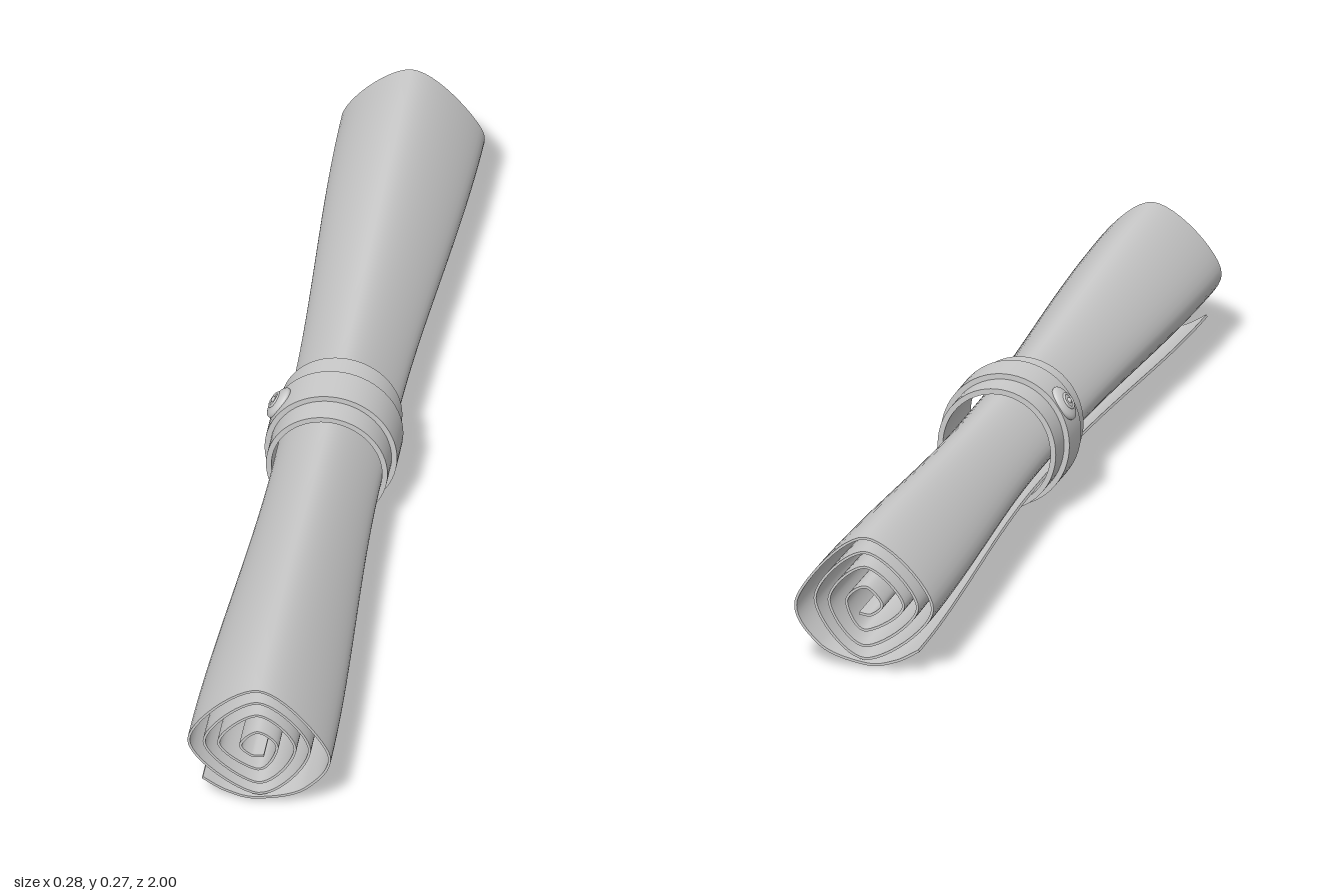
import * as THREE from 'three';
import { mergeGeometries } from 'three/addons/utils/BufferGeometryUtils.js';

const CY = 0.134;          // height of the roll's axis
const HALF_THICK = 0.0025; // half the sheet thickness

// Spiral of the sheet, from the loose outer edge to the core: [degrees, radius]
const spiral = new THREE.SplineCurve([
  [219, 0.139], [242, 0.129], [270, 0.124], [315, 0.13], [360, 0.135], [450, 0.131], [540, 0.135],
  [630, 0.114], [720, 0.1], [810, 0.102], [900, 0.105], [990, 0.088],
  [1080, 0.072], [1170, 0.072], [1260, 0.077], [1350, 0.056], [1440, 0.037],
  [1530, 0.032], [1620, 0.034], [1680, 0.027], [1737, 0.025],
].map(([d, r]) => {
  const a = THREE.MathUtils.degToRad(d);
  return new THREE.Vector2(r * Math.cos(a), r * Math.sin(a));
}));

// Grid surface from f(u, v); its front faces along du x dv
function sheet(nu, nv, f) {
  const pos = [], index = [];
  for (let i = 0; i <= nu; i++)
    for (let j = 0; j <= nv; j++) pos.push(...f(i / nu, j / nv));
  for (let i = 0; i < nu; i++)
    for (let j = 0; j < nv; j++) {
      const a = i * (nv + 1) + j, b = a + nv + 1;
      index.push(a, b, a + 1, b, b + 1, a + 1);
    }
  const g = new THREE.BufferGeometry();
  g.setAttribute('position', new THREE.Float32BufferAttribute(pos, 3));
  g.setIndex(index);
  g.computeVertexNormals();
  return g;
}

// Point on the sheet: u along the spiral, z along the roll, side +1 outer / -1 inner
function paperPoint(u, z, side) {
  const p = spiral.getPoint(u), t = spiral.getTangent(u);
  const s = 0.75 + 0.25 * THREE.MathUtils.smoothstep(Math.abs(z), 0.1, 1);
  const o = side * HALF_THICK;
  return [p.x * s + t.y * o, CY + p.y * s - t.x * o, z];
}

function paperGeometry() {
  const N = 240, M = 40, zOf = (v) => v * 2 - 1, sideOf = (v) => v * 2 - 1;
  return mergeGeometries([
    sheet(N, M, (u, v) => paperPoint(u, zOf(v), 1)),         // outer face
    sheet(N, M, (u, v) => paperPoint(1 - u, zOf(v), -1)),    // inner face
    sheet(N, 1, (u, v) => paperPoint(u, 1, -sideOf(v))),     // front edge
    sheet(N, 1, (u, v) => paperPoint(u, -1, sideOf(v))),     // back edge
    sheet(1, M, (u, v) => paperPoint(0, zOf(v), sideOf(u))), // loose edge
    sheet(1, M, (u, v) => paperPoint(1, zOf(v), -sideOf(u))), // core edge
  ]);
}

// Flat ring about the z axis with sharp rims
function ringGeometry(inner, outer, z0, z1) {
  const c = [[inner, z0], [outer, z0], [outer, z1], [inner, z1], [inner, z0]]
    .map((p) => new THREE.Vector2(...p));
  const sides = c.slice(1).map((p, i) => new THREE.LatheGeometry([c[i], p], 64));
  return mergeGeometries(sides).rotateX(Math.PI / 2);
}

export function createModel() {
  const group = new THREE.Group();
  const material = new THREE.MeshStandardMaterial({ color: 0xcccccc, side: THREE.DoubleSide });
  const add = (name, geometry, parent = group) => {
    const mesh = new THREE.Mesh(geometry, material);
    mesh.name = name;
    parent.add(mesh);
    return mesh;
  };

  add('rolledPaper', paperGeometry());

  // Band around the waist: a wide strap with a narrower raised strap
  const band = new THREE.Group();
  band.name = 'band';
  band.position.y = CY;
  band.scale.x = 0.96;
  group.add(band);
  add('wideStrap', ringGeometry(0.112, 0.123, -0.085, 0.108), band);
  add('raisedStrap', ringGeometry(0.118, 0.134, -0.027, 0.055), band);

  // Seal on the upper side of the band, local y pointing outward
  const seal = new THREE.Group();
  seal.name = 'seal';
  const a = THREE.MathUtils.degToRad(146);
  seal.position.set(0.13 * Math.cos(a), CY + 0.13 * Math.sin(a), 0.008);
  seal.rotation.z = a - Math.PI / 2;
  group.add(seal);
  add('sealBody', new THREE.SphereGeometry(1, 32, 16).scale(0.036, 0.013, 0.03), seal);
  add('sealRim', new THREE.TorusGeometry(0.015, 0.003, 10, 32).rotateX(Math.PI / 2), seal).position.y = 0.011;
  add('sealKnob', new THREE.SphereGeometry(0.007, 16, 12), seal).position.y = 0.01;

  return group;
}
